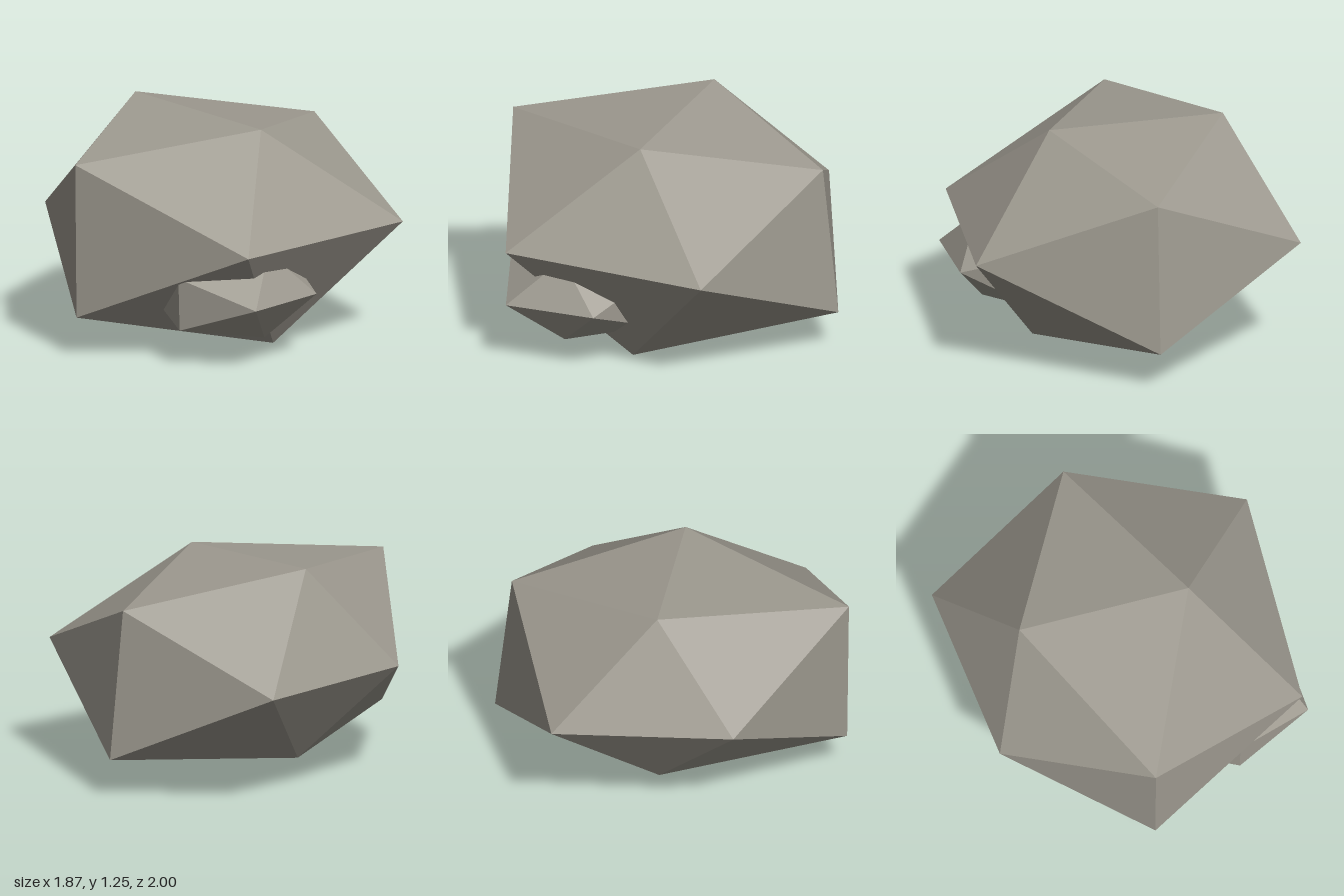
import * as THREE from 'three';

// Triangles of an icosahedron: corners 0-3 lie in the xy plane, 4-7 in yz, 8-11 in xz
const FACES = [
  0, 11, 5, 0, 5, 1, 0, 1, 7, 0, 7, 10, 0, 10, 11,
  1, 5, 9, 5, 11, 4, 11, 10, 2, 10, 7, 6, 7, 1, 8,
  3, 9, 4, 3, 4, 2, 3, 2, 6, 3, 6, 8, 3, 8, 9,
  4, 9, 5, 2, 4, 11, 6, 2, 10, 8, 6, 7, 9, 8, 1,
];

// Faceted rock: an icosahedron with its twelve corners pushed around
function makeRock(name, corners, material) {
  const geometry = new THREE.BufferGeometry();
  const positions = FACES.flatMap((i) => corners[i]);
  geometry.setAttribute('position', new THREE.Float32BufferAttribute(positions, 3));
  geometry.computeVertexNormals();
  const mesh = new THREE.Mesh(geometry, material);
  mesh.name = name;
  return mesh;
}

export function createModel() {
  const group = new THREE.Group();
  group.name = 'rock';
  const stone = new THREE.MeshStandardMaterial({ color: 0x9e9a90, flatShading: true });
  stone.name = 'stone grey';

  // Main boulder
  group.add(makeRock('boulder', [
    [-0.58, 1.26, 0], [0.4, 1.215, 0], [-0.51, 0.155, 0], [0.495, 0.005, 0],
    [-0.07, 0.23, 0.99], [-0.07, 1.11, 1], [-0.07, 0.225, -1], [-0.07, 1.07, -0.905],
    [0.91, 0.667, -0.61], [0.89, 0.667, 0.6], [-0.935, 0.667, -0.54], [-0.825, 0.667, 0.47],
  ], stone));

  // Small stone half buried in the boulder's lower left side
  group.add(makeRock('smallStone', [
    [0.24, 0.62, 0.31], [0.76, 0.63, 0.31], [0.22, 0.11, 0.31], [0.73, 0.135, 0.31],
    [0.49, 0.21, 0.74], [0.49, 0.51, 0.75], [0.49, 0.2, -0.12], [0.49, 0.51, -0.12],
    [0.893, 0.37, 0.06], [0.93, 0.37, 0.58], [0.05, 0.37, 0.06], [0.04, 0.37, 0.57],
  ], stone));

  return group;
}
